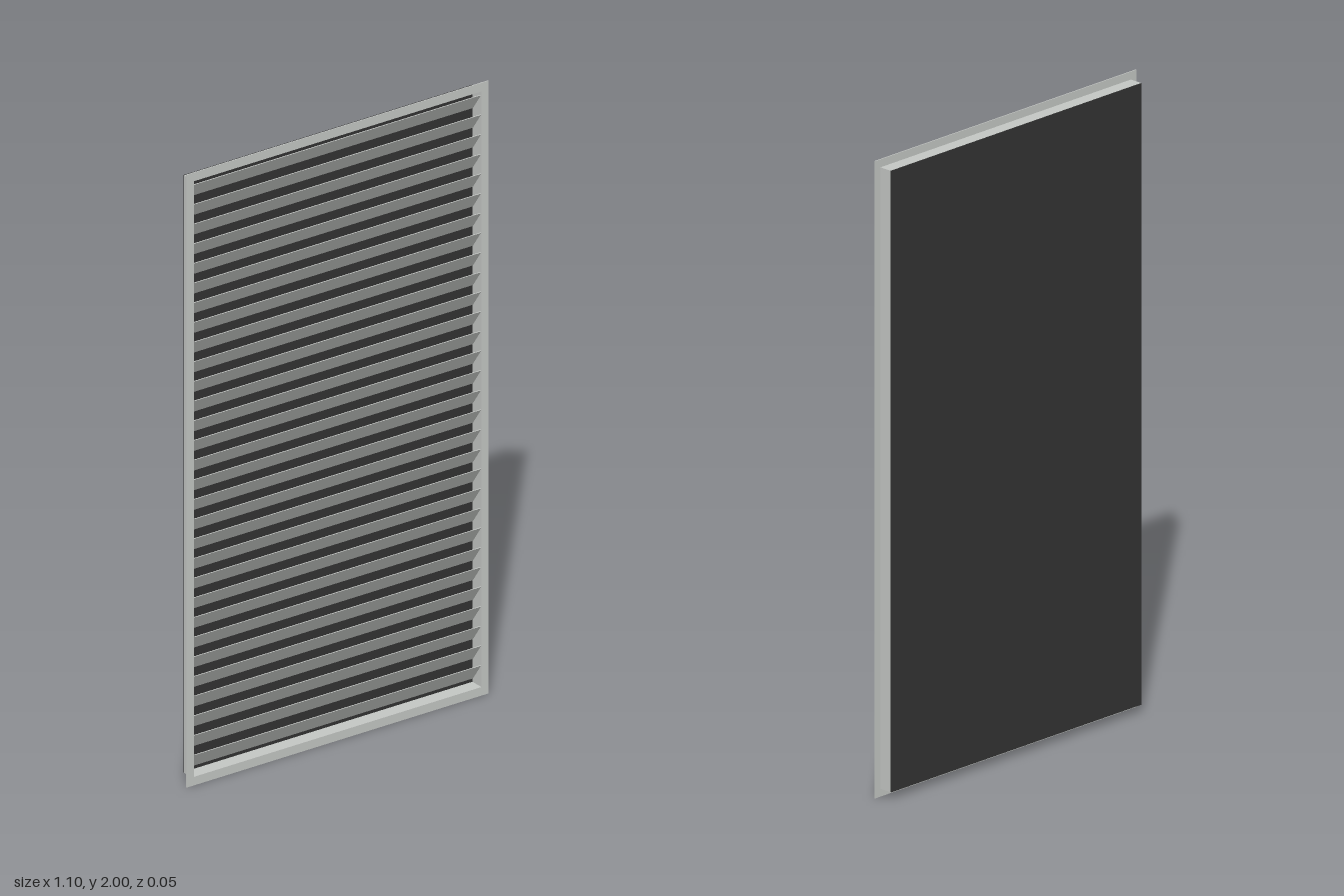
import * as THREE from 'three';

const W = 1.10, H = 2.0;            // flange outline
const BW = 1.054, BH = 1.95;        // sleeve outline
const FRONT = 0.024, BACK = -0.024; // depth range
const T = 0.003;                    // sheet thickness

const metal = new THREE.MeshStandardMaterial({ color: 0xc2c5c2 });
metal.name = 'light grey metal';
const dark = new THREE.MeshStandardMaterial({ color: 0x323232 });
dark.name = 'dark backing';

// Rectangular ring, extruded from z0 to z1
function ring(name, w, h, iw, ih, z0, z1) {
  const rect = (P, a, b) => new P([
    new THREE.Vector2(-a / 2, -b / 2), new THREE.Vector2(a / 2, -b / 2),
    new THREE.Vector2(a / 2, b / 2), new THREE.Vector2(-a / 2, b / 2),
  ]);
  const shape = rect(THREE.Shape, w, h);
  shape.holes.push(rect(THREE.Path, iw, ih));
  const geo = new THREE.ExtrudeGeometry(shape, { depth: z1 - z0, bevelEnabled: false });
  const mesh = new THREE.Mesh(geo, metal);
  mesh.name = name;
  mesh.position.set(0, H / 2, z0);
  return mesh;
}

export function createModel() {
  const group = new THREE.Group();
  group.name = 'louvreGrille';

  // Flat front flange and the sleeve behind it
  const iw = BW - 2 * T, ih = BH - 2 * T;
  group.add(ring('flange', W, H, iw, ih, FRONT - T, FRONT));
  group.add(ring('sleeve', BW, BH, iw, ih, BACK + T, FRONT - T));

  // Dark panel closing the back
  const panel = new THREE.Mesh(new THREE.BoxGeometry(BW, BH, T), dark);
  panel.name = 'backPanel';
  panel.position.set(0, H / 2, BACK + T / 2);
  group.add(panel);

  // Slats: upper edge forward, lower edge towards the back panel
  const slats = new THREE.Group();
  slats.name = 'slats';
  const count = 30, pitch = 0.0642, rise = 0.057, run = 0.040;
  const slatGeo = new THREE.BoxGeometry(iw, Math.hypot(rise, run), 0.002);
  for (let i = 0; i < count; i++) {
    const slat = new THREE.Mesh(slatGeo, metal);
    slat.name = 'slat';
    slat.position.set(0, H / 2 + (i - (count - 1) / 2) * pitch, 0.001);
    slat.rotation.x = Math.atan2(run, rise);
    slats.add(slat);
  }
  group.add(slats);
  return group;
}
